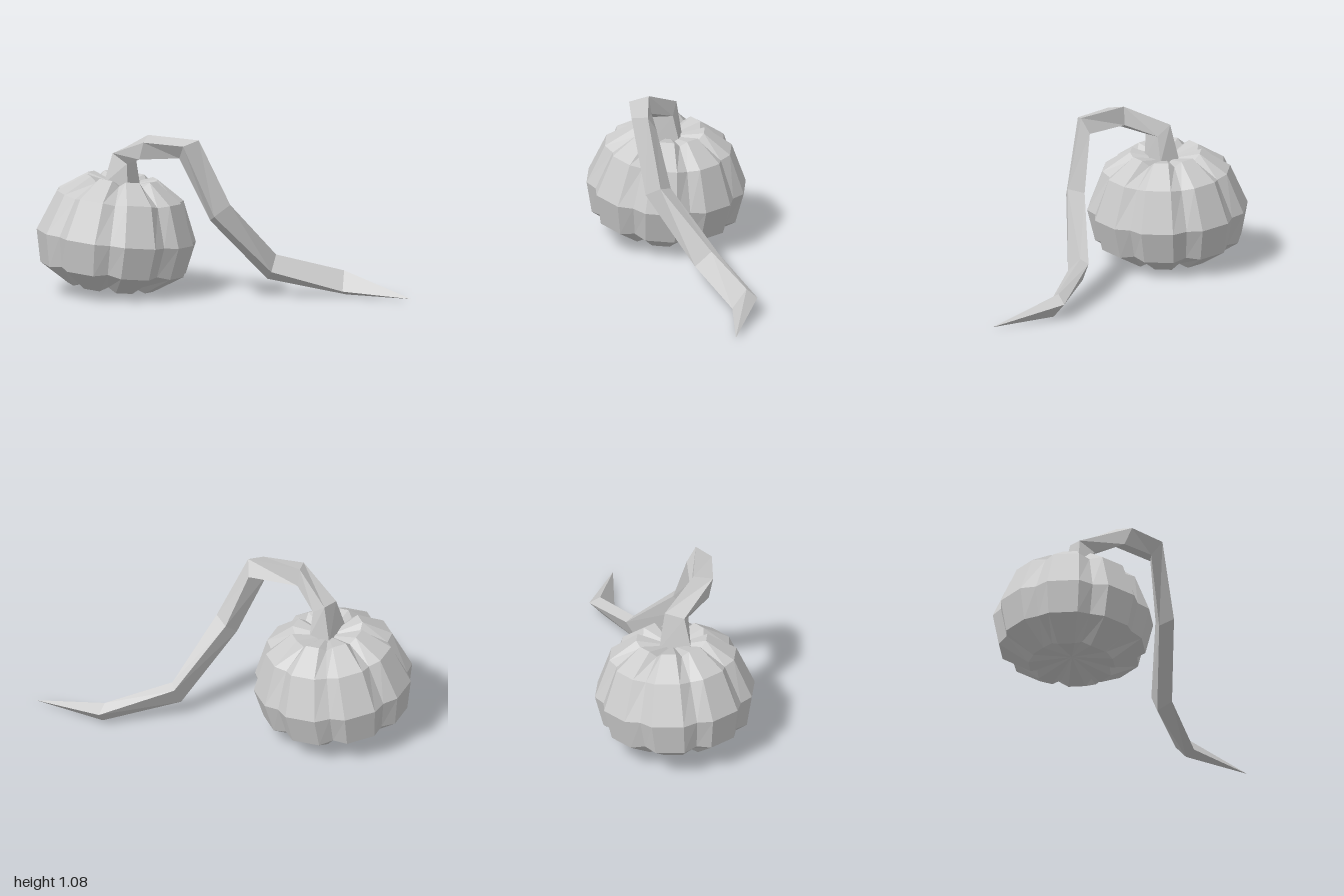
import * as THREE from 'three';

const material = new THREE.MeshStandardMaterial({ color: 0xcccccc, flatShading: true });

// Skins a list of closed cross-sections, leaving out collapsed triangles.
function loft(name, rings) {
  const positions = [];
  const addTriangle = (a, b, c) => {
    if (new THREE.Triangle(a, b, c).getArea() < 1e-6) return;
    for (const p of [a, b, c]) positions.push(p.x, p.y, p.z);
  };
  for (let i = 0; i < rings.length - 1; i++) {
    const r0 = rings[i], r1 = rings[i + 1], n = r0.length;
    for (let j = 0; j < n; j++) {
      const k = (j + 1) % n;
      addTriangle(r0[j], r0[k], r1[k]);
      addTriangle(r0[j], r1[k], r1[j]);
    }
  }
  const geometry = new THREE.BufferGeometry();
  geometry.setAttribute('position', new THREE.Float32BufferAttribute(positions, 3));
  geometry.computeVertexNormals();
  const mesh = new THREE.Mesh(geometry, material);
  mesh.name = name;
  return mesh;
}

// Pumpkin body: eight lobes, each a groove followed by two ridges.
function createPumpkin() {
  const lobes = 8;
  // ridge radius, ridge height, groove radius, groove height (top to bottom)
  const profile = [
    [0, 0.33, 0, 0.33],
    [0.235, 0.39, 0.215, 0.355],
    [0.42, 0.265, 0.385, 0.25],
    [0.528, 0, 0.49, 0],
    [0.482, -0.215, 0.445, -0.2],
    [0.285, -0.34, 0.26, -0.31],
    [0, -0.28, 0, -0.28],
  ];
  const rings = profile.map(([ridgeR, ridgeY, grooveR, grooveY]) => {
    const ring = [];
    for (let i = 0; i < lobes; i++) {
      for (const offset of [0, 11, 34]) {
        const angle = THREE.MathUtils.degToRad(i * 45 - 1 + offset);
        const r = offset ? ridgeR : grooveR;
        ring.push(new THREE.Vector3(r * Math.cos(angle), offset ? ridgeY : grooveY, r * Math.sin(angle)));
      }
    }
    return ring;
  });
  const pumpkin = loft('pumpkin', rings);
  pumpkin.position.set(-0.375, 0.375, -0.5);
  // Lean slightly to the front left.
  pumpkin.quaternion.setFromUnitVectors(
    new THREE.Vector3(0, 1, 0), new THREE.Vector3(0.085, 1, 0.05).normalize());
  return pumpkin;
}

// Stem and vine: a four-sided section bent over the body and down to a point.
function createVine() {
  const tip = [0.9, 0.01, 1];
  const sections = [
    [[-0.29, 0.7, -0.56], [-0.49, 0.73, -0.49], [-0.4, 0.7, -0.35], [-0.24, 0.71, -0.42]],
    [[-0.3, 0.95, -0.5], [-0.43, 0.93, -0.47], [-0.4, 0.87, -0.36], [-0.28, 0.88, -0.41]],
    [[-0.35, 1.08, -0.2], [-0.455, 1.05, -0.12], [-0.45, 0.93, -0.17], [-0.33, 0.96, -0.2]],
    [[-0.19, 1.07, 0.13], [-0.315, 1.04, 0.12], [-0.29, 0.95, 0.05], [-0.15, 0.97, 0.08]],
    [[-0.03, 0.64, 0.26], [-0.15, 0.57, 0.24], [-0.11, 0.53, 0.15], [-0.01, 0.61, 0.15]],
    [[0.35, 0.27, 0.27], [0.26, 0.17, 0.33], [0.3, 0.11, 0.24], [0.38, 0.24, 0.22]],
    [[0.73, 0.155, 0.51], [0.66, 0.03, 0.58], [0.72, 0, 0.54], [0.8, 0.1, 0.49]],
    [tip, tip, tip, tip],
  ];
  return loft('stemAndVine', sections.map((ring) => ring.map((p) => new THREE.Vector3(...p))));
}

export function createModel() {
  const model = new THREE.Group();
  model.name = 'pumpkinWithVine';
  model.add(createPumpkin(), createVine());
  return model;
}
